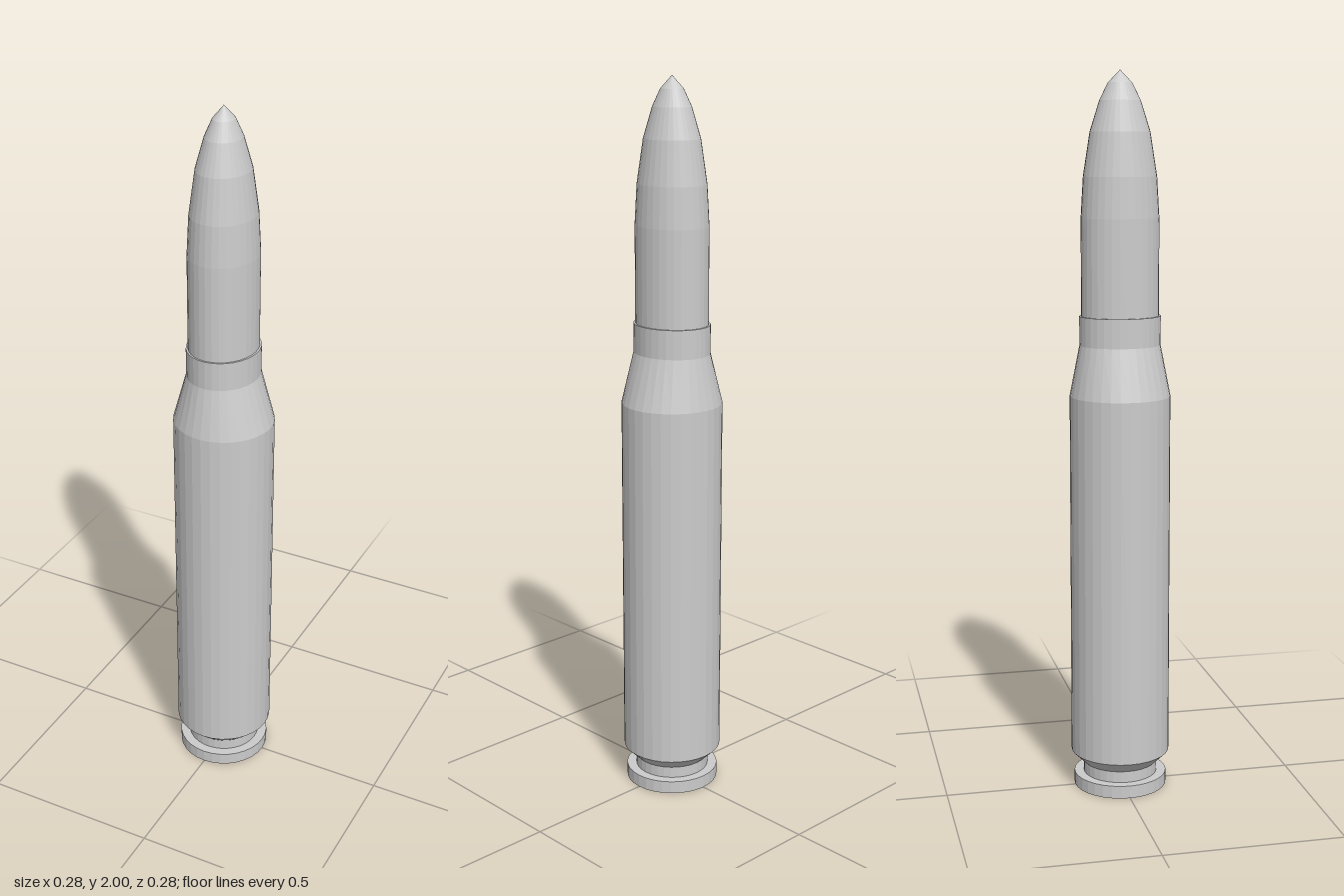
import * as THREE from 'three';

const SIDES = 32;
const material = new THREE.MeshStandardMaterial({ color: 0xcccccc, flatShading: true });

// Turned part from [radius, height] pairs, listed bottom to top
function turned(name, profile) {
  const points = profile.map(([r, y]) => new THREE.Vector2(r, y));
  const mesh = new THREE.Mesh(new THREE.LatheGeometry(points, SIDES), material);
  mesh.name = name;
  return mesh;
}

export function createModel() {
  const group = new THREE.Group();
  group.name = 'cartridge';

  // Rim disc, extractor groove, bevel and straight body
  group.add(turned('caseBody', [
    [0, 0], [0.131, 0], [0.131, 0.036], [0.104, 0.036],
    [0.104, 0.068], [0.139, 0.102], [0.139, 1.125],
  ]));

  // Shoulder narrowing to the neck, with a flat lip at the mouth
  const neck = turned('shoulderAndNeck', [
    [0.139, 1.125], [0.112, 1.265], [0.112, 1.345], [0.1, 1.345],
  ]);
  // The neck is slightly oval: squeeze x above the shoulder's lower edge
  const pos = neck.geometry.attributes.position;
  for (let i = 0; i < pos.count; i++) {
    if (pos.getY(i) > 1.2) pos.setX(i, pos.getX(i) * 0.88);
  }
  neck.geometry.computeVertexNormals();
  group.add(neck);

  // Oval bullet with a rounded, pointed nose
  const bullet = turned('bullet', [
    [0.107, 1.3], [0.107, 1.61], [0.1005, 1.72],
    [0.082, 1.838], [0.056, 1.92], [0.033, 1.966], [0, 2],
  ]);
  bullet.scale.x = 0.87;
  group.add(bullet);

  return group;
}
